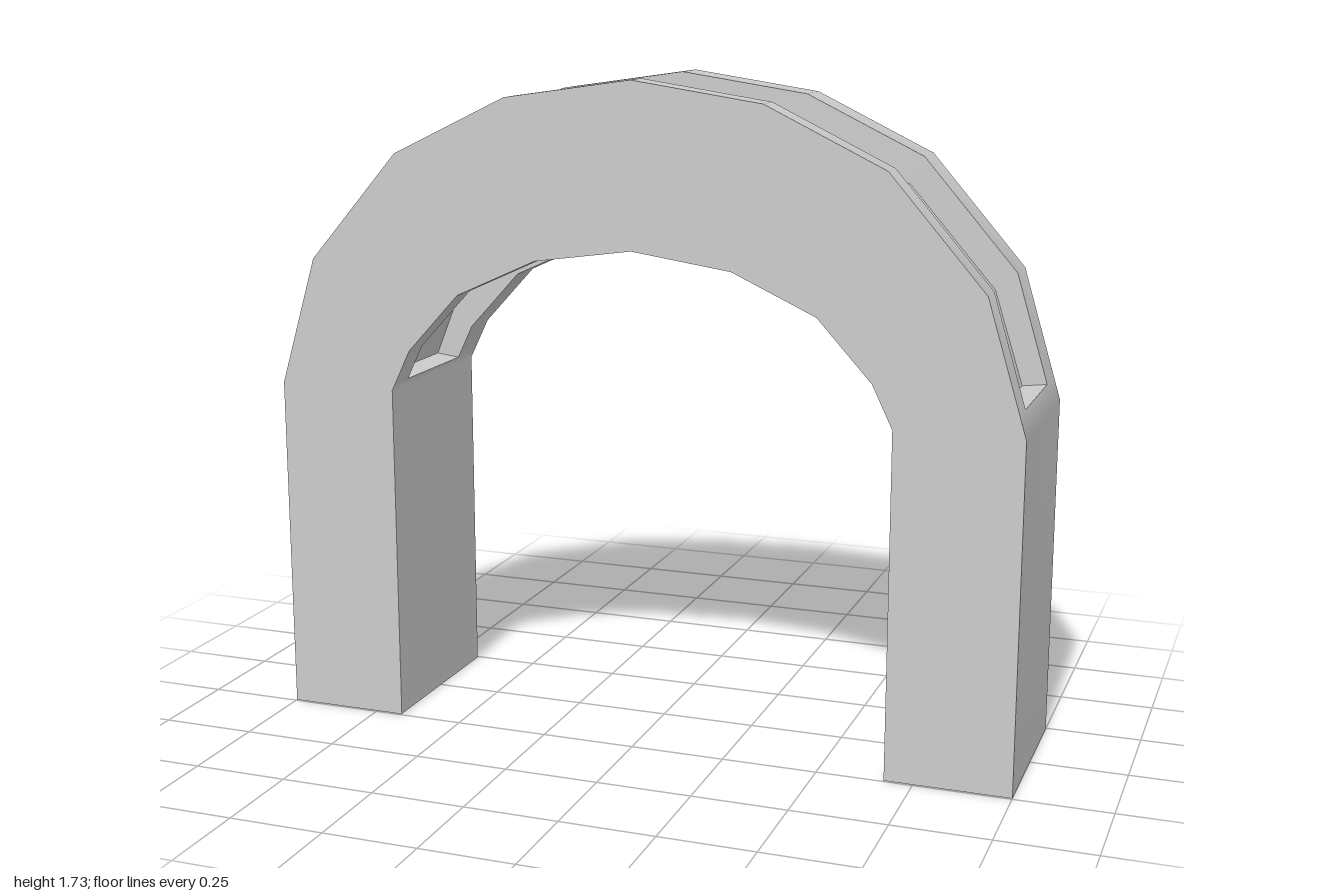
import * as THREE from 'three';

const material = new THREE.MeshStandardMaterial({ color: 0xcccccc, side: THREE.DoubleSide });
const HALF = 0.245;            // half depth of the arch
const Z0 = -0.14, Z1 = 0.17;   // sides of the recessed channels
const LEDGE = 0.174;           // where the channel starts on the first arch segment
const SINK = 0.2;              // channel depth as a share of the arch thickness

// Half profiles from foot to crown
const outerHalf = [[1, 0], [1, 0.905], [0.897, 1.245], [0.65, 1.53], [0.34, 1.68], [0, 1.73]];
const innerHalf = [[0.675, 0], [0.675, 0.905], [0.622, 1.015], [0.48, 1.17], [0.262, 1.27], [0, 1.308]];

const lerp = (a, b, t) => [a[0] + (b[0] - a[0]) * t, a[1] + (b[1] - a[1]) * t];

// Full path from the left foot over the crown to the right foot
function fullPath(half) {
  const p = [...half];
  p.splice(2, 0, lerp(half[1], half[2], LEDGE));
  return [...p, ...p.slice(0, -1).reverse().map(([x, y]) => [-x, y])];
}

// Smooth surface through rows of points; skip(i, j) leaves a cell open
function grid(name, rows, flip, skip = () => false) {
  const cols = rows[0].length, index = [];
  for (let i = 0; i < rows.length - 1; i++) {
    for (let j = 0; j < cols - 1; j++) {
      if (skip(i, j)) continue;
      const a = i * cols + j, b = a + 1, d = a + cols, c = d + 1;
      index.push(...(flip ? [a, c, d, a, b, c] : [a, d, c, a, c, b]));
    }
  }
  const g = new THREE.BufferGeometry();
  g.setAttribute('position', new THREE.Float32BufferAttribute(rows.flat(2), 3));
  g.setIndex(index);
  g.computeVertexNormals();
  const mesh = new THREE.Mesh(g, material);
  mesh.name = name;
  return mesh;
}

const across = (path, zs) => path.map(([x, y]) => zs.map((z) => [x, y, z]));

// One curved side of the arch with its sunken channel
function curvedSide(name, path, opposite, flip) {
  const side = new THREE.Group();
  side.name = name;
  const last = path.length - 1;
  const rim = path.slice(2, last - 1);
  const floor = rim.map((p, i) => lerp(p, opposite[i + 2], SINK));

  side.add(grid(name + 'Skin', across(path, [-HALF, Z0, Z1, HALF]), flip,
    (i, j) => j === 1 && i >= 2 && i < last - 2));
  side.add(grid(name + 'ChannelFloor', across(floor, [Z0, Z1]), flip));

  // Channel walls
  for (const z of [Z0, Z1]) {
    const rows = rim.map((p, i) => [[...p, z], [...floor[i], z]]);
    side.add(grid(name + 'ChannelWall', rows, flip !== (z === Z1)));
  }
  // Ledges closing both channel ends
  for (const k of [0, rim.length - 1]) {
    side.add(grid(name + 'ChannelLedge', across([rim[k], floor[k]], [Z0, Z1]), flip !== (k > 0)));
  }
  return side;
}

export function createModel() {
  const model = new THREE.Group();
  model.name = 'arch';
  const outer = fullPath(outerHalf), inner = fullPath(innerHalf);

  model.add(curvedSide('outerSide', outer, inner, false));
  model.add(curvedSide('innerSide', inner, outer, true));

  // Flat front and back faces; the feet stay open
  const outline = [...outer, ...[...inner].reverse()].map(([x, y]) => new THREE.Vector2(x, y));
  const face = new THREE.ShapeGeometry(new THREE.Shape(outline));
  for (const [name, turn] of [['frontFace', 0], ['backFace', Math.PI]]) {
    const mesh = new THREE.Mesh(face, material);
    mesh.name = name;
    mesh.rotation.y = turn;
    mesh.position.z = turn ? -HALF : HALF;
    model.add(mesh);
  }
  return model;
}
